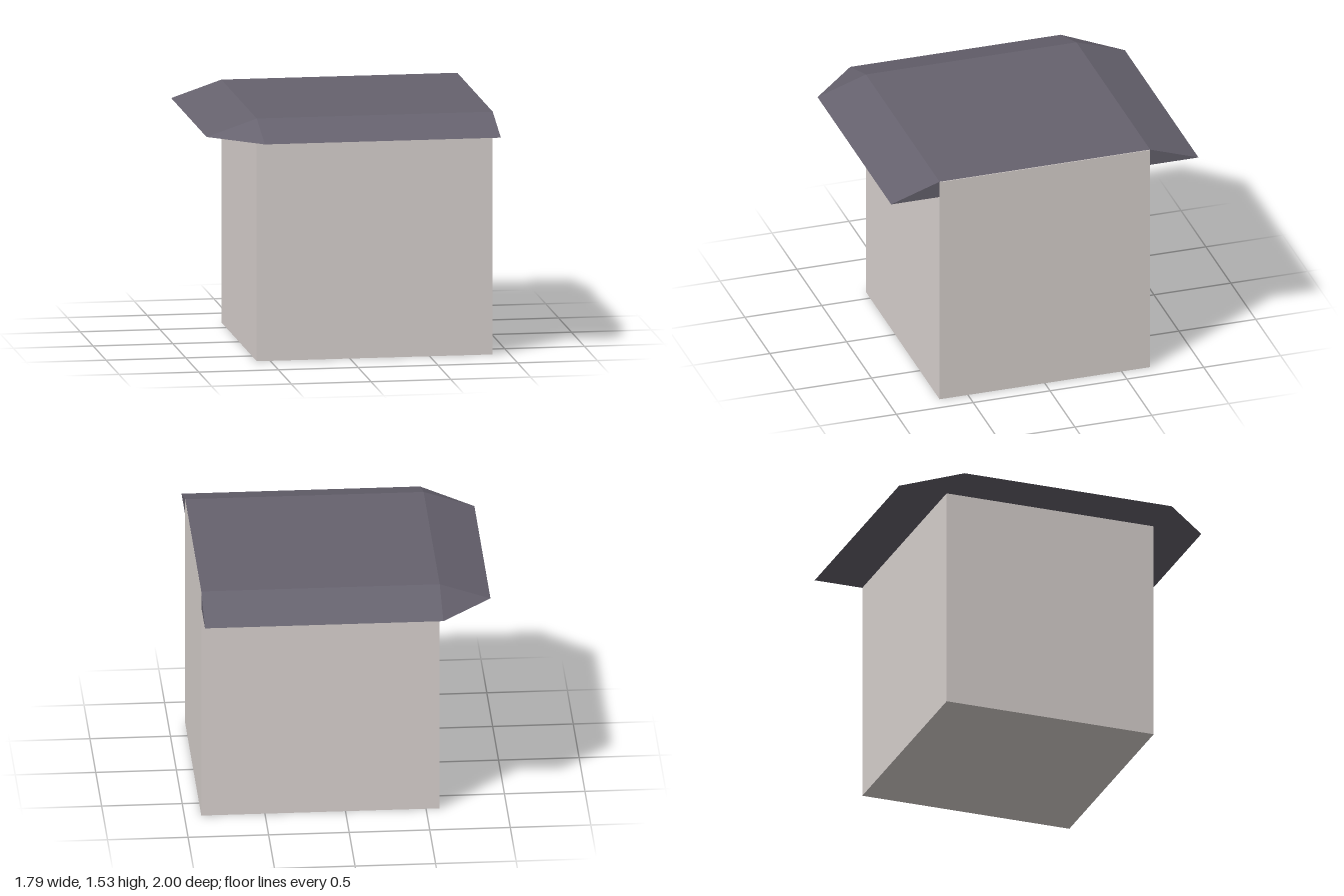
import * as THREE from 'three';

const X0 = -0.585, X1 = 0.895, Z = 0.685; // wall extents
const EAVE = 1.42, TOP = 1.527;           // roof heights

// Roof: flat deck with skirts sloping out on three sides and flush on +x
function roofGeometry() {
  const outer = [[X1, 1], [X0, 1], [-0.9, Z], [-0.9, -Z], [X0, -1], [X1, -1]];
  const inner = [[X1, Z], [X0, Z], [X0, Z], [X0, -Z], [X0, -Z], [X1, -Z]];
  const at = ([x, z], y) => [x, y, z];
  const O = outer.map((p) => at(p, EAVE)); // eave edge
  const I = inner.map((p) => at(p, TOP));  // deck edge
  const L = inner.map((p) => at(p, EAVE)); // soffit against the wall
  const pos = [];
  const tri = (a, b, c) => pos.push(...a, ...b, ...c);
  const quad = (a, b, c, d) => {
    tri(a, b, c);
    tri(a, c, d);
  };
  for (let i = 0; i < 5; i++) {
    const corner = i === 1 || i === 3;
    if (corner) {
      tri(O[i], I[i], O[i + 1]);
      tri(O[i], O[i + 1], L[i]);
    } else {
      quad(O[i], I[i], I[i + 1], O[i + 1]);
      quad(O[i], O[i + 1], L[i + 1], L[i]);
    }
  }
  quad(I[0], I[5], I[3], I[1]); // deck
  tri(O[0], L[0], I[0]);        // triangular skirt ends
  tri(L[5], O[5], I[5]);
  const g = new THREE.BufferGeometry();
  g.setAttribute('position', new THREE.Float32BufferAttribute(pos, 3));
  g.computeVertexNormals();
  return g;
}

export function createModel() {
  const group = new THREE.Group();

  // Walls, stopping just below the deck
  const h = TOP - 0.003;
  const walls = new THREE.Mesh(
    new THREE.BoxGeometry(X1 - X0, h, Z * 2),
    new THREE.MeshStandardMaterial({ color: 0xdad3d0 })
  );
  walls.name = 'walls';
  walls.position.set((X0 + X1) / 2, h / 2, 0);

  const roof = new THREE.Mesh(
    roofGeometry(),
    new THREE.MeshStandardMaterial({ color: 0x66626e, flatShading: true })
  );
  roof.name = 'roof';

  group.add(walls, roof);
  return group;
}
